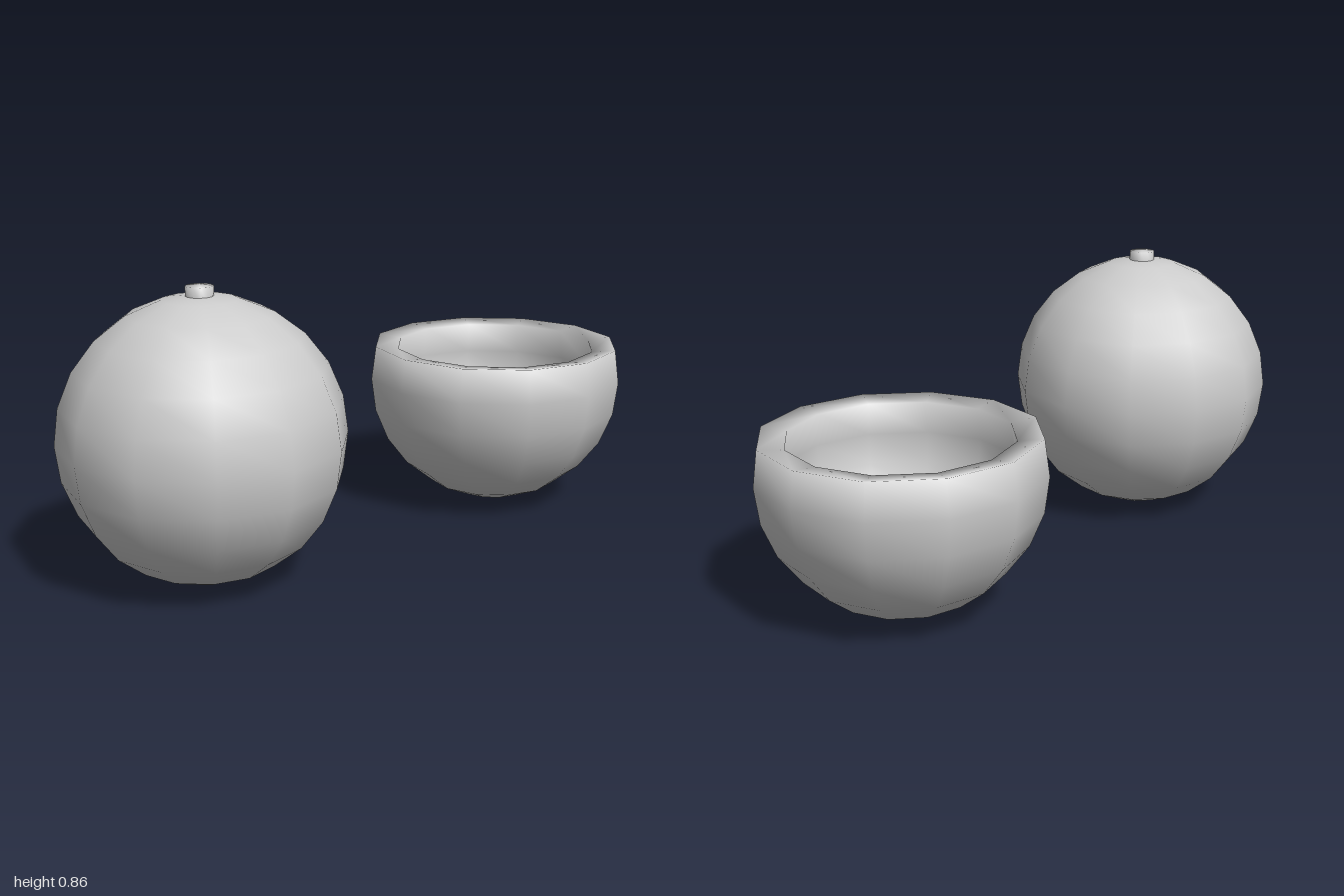
import * as THREE from 'three';
import { mergeVertices } from 'three/addons/utils/BufferGeometryUtils.js';

const SIDES = 12;
const RADIUS = 0.415;
const WALL = 0.077;
const CENTRE_Y = 0.417;
const OFFSET_Z = 0.585;

// Turned shape whose normals run smoothly across every edge and pole.
function smoothLathe(points) {
  const lathe = new THREE.LatheGeometry(points, SIDES);
  lathe.deleteAttribute('normal');
  lathe.deleteAttribute('uv');
  const geometry = mergeVertices(lathe, 1e-4);
  geometry.computeVertexNormals();
  return geometry;
}

// Profile point on a circle, by elevation step of 15 degrees.
function ringPoint(radius, step) {
  const a = (step * Math.PI) / 12;
  const x = Math.abs(step) === 6 ? 0 : radius * Math.cos(a);
  return new THREE.Vector2(x, radius * Math.sin(a));
}

export function createModel() {
  const group = new THREE.Group();
  const material = new THREE.MeshStandardMaterial({ color: 0xcccccc });

  function add(name, geometry, y, z) {
    const mesh = new THREE.Mesh(geometry, material);
    mesh.name = name;
    mesh.position.set(0, y, z);
    group.add(mesh);
  }

  // Whole round shell
  const whole = [];
  for (let i = -6; i <= 6; i++) whole.push(ringPoint(RADIUS, i));
  add('wholeShell', smoothLathe(whole), CENTRE_Y, OFFSET_Z);

  // Short stem on top, with a slightly crowned end
  const stem = [[0.04, 0.39], [0.04, 0.438], [0, 0.441]].map(([x, y]) => new THREE.Vector2(x, y));
  add('stem', smoothLathe(stem), CENTRE_Y, OFFSET_Z);

  // Open bowl: outer wall up to the rim, then the inner wall back down
  const bowl = [];
  for (let i = -6; i <= 1; i++) bowl.push(ringPoint(RADIUS, i));
  bowl.push(new THREE.Vector2(0.325, 0.098));
  for (let i = 0; i >= -6; i--) bowl.push(ringPoint(RADIUS - WALL, i));
  add('openBowl', smoothLathe(bowl), CENTRE_Y, -OFFSET_Z);

  return group;
}
